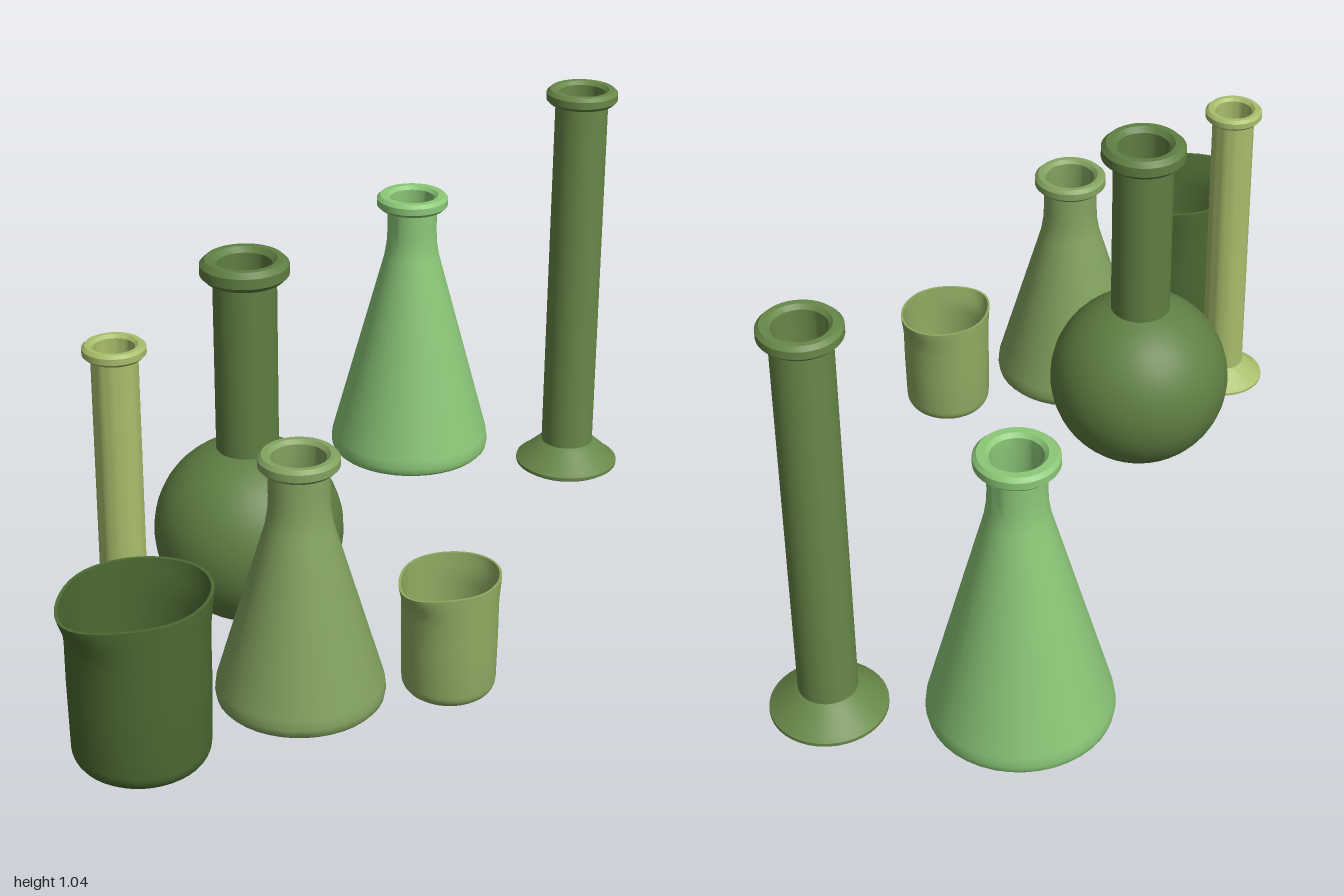
import * as THREE from 'three';
import { toCreasedNormals } from 'three/addons/utils/BufferGeometryUtils.js';

const SEGMENTS = 40;

// Closed profile [radius, height] running up the outside and down the inside
function lathe(points) {
  return new THREE.LatheGeometry(points.map(([r, y]) => new THREE.Vector2(r, y)), SEGMENTS);
}

function vessel(name, geometry, color, x, y, z) {
  const mesh = new THREE.Mesh(
    toCreasedNormals(geometry, 0.6),
    new THREE.MeshStandardMaterial({ color, side: THREE.DoubleSide })
  );
  mesh.name = name;
  mesh.position.set(x, y, z);
  return mesh;
}

// Rounded collar around the mouth, ending at its inner edge
function collar(neck, rim, bottom, top, bore) {
  const b = (top - bottom) * 0.25;
  return [
    [neck, bottom], [rim - b, bottom], [rim, bottom + b],
    [rim, top - b], [rim - b, top], [bore + b, top], [bore, top - b],
  ];
}

// Straight cup with a pouring lip on -x and a slight flare on +x
function beakerGeometry(r, h) {
  const c = r * 0.3, w = r * 0.05, outer = [], inner = [];
  for (let i = 0; i <= 6; i++) {
    const a = (i / 6) * Math.PI / 2;
    const cx = r * 0.98 - c + c * Math.sin(a), cy = c - c * Math.cos(a);
    outer.push([cx, cy]);
    inner.unshift([cx - w, cy + w]);
  }
  const wall = [0.5, 0.75, 0.82, 0.88, 0.93, 0.97, 1];
  const geometry = lathe([
    [0, 0], ...outer,
    ...wall.map((t) => [r, t * h]),
    ...wall.slice().reverse().map((t) => [r - w, t * h]),
    ...inner, [0, w],
  ]);
  const p = geometry.attributes.position;
  for (let i = 0; i < p.count; i++) {
    const x = p.getX(i), y = p.getY(i), z = p.getZ(i);
    const d = Math.hypot(x, z) || 1, cos = x / d;
    const lift = THREE.MathUtils.smoothstep(y / h, 0.75, 1.05);
    const push = cos < 0 ? 0.22 * Math.pow(-cos, 4) : 0.13 * cos * cos;
    p.setX(i, x + Math.sign(cos) * push * r * lift);
    if (cos < 0) p.setY(i, y - 0.08 * r * lift * Math.pow(-cos, 4));
  }
  return geometry;
}

// Cone body with a straight neck
function conicalGeometry(base, neck, rim, shoulder, h) {
  const bore = neck * 0.9;
  return lathe([
    [0, 0], [base * 0.95, 0], [base * 0.985, 0.007], [base, 0.022], [base * 0.985, 0.045],
    [neck * 1.12, shoulder - 0.035], [neck * 1.03, shoulder], [neck, shoulder + 0.035],
    ...collar(neck, rim, h - 0.034, h, bore),
    [bore, shoulder], [base * 0.94, 0.03], [0, 0.015],
  ]);
}

// Tall tube on a flared foot
function cylinderGeometry(s) {
  const points = [
    [0, 0], [0.122, 0], [0.131, 0.006], [0.131, 0.014], [0.122, 0.02], [0.078, 0.06], [0.066, 0.068],
    ...collar(0.065, 0.088, 0.99, 1.025, 0.057),
    [0.057, 0.07], [0, 0.07],
  ];
  return lathe(points.map(([r, y]) => [r * s, y * s]));
}

// Sphere body with a long neck; height measured from the sphere's lowest point
function roundGeometry(r, neck, rim, h) {
  const outer = [], inner = [], wall = 0.01, bore = neck - wall;
  const end = Math.PI - Math.asin(neck / r), innerEnd = Math.PI - Math.asin(bore / (r - wall));
  for (let i = 0; i <= 24; i++) {
    const a = (i / 24) * end, b = (i / 24) * innerEnd;
    outer.push([r * Math.sin(a), r - r * Math.cos(a)]);
    inner.unshift([(r - wall) * Math.sin(b), r - (r - wall) * Math.cos(b)]);
  }
  return lathe([...outer, ...collar(neck, rim, h - 0.047, h, bore), ...inner]);
}

export function createModel() {
  const group = new THREE.Group();
  group.name = 'laboratoryGlassware';
  group.add(
    vessel('largeBeaker', beakerGeometry(0.151, 0.395), 0x4c6a32, -0.82, 0.02, 0.322),
    vessel('smallBeaker', beakerGeometry(0.107, 0.281), 0x8fac62, -0.12, 0, 0.513),
    vessel('leftConicalFlask', conicalGeometry(0.187, 0.066, 0.088, 0.455, 0.587), 0x84a460, -0.415, 0.027, 0.355),
    vessel('rightConicalFlask', conicalGeometry(0.207, 0.063, 0.091, 0.575, 0.705), 0x8cc878, 0.601, 0.029, -0.411),
    vessel('roundFlask', roundGeometry(0.217, 0.071, 0.099, 0.877), 0x5f7f42, -0.271, 0.031, 0),
    vessel('smallMeasuringCylinder', cylinderGeometry(0.775), 0xa9be6c, -0.648, 0.029, 0.034),
    vessel('largeMeasuringCylinder', cylinderGeometry(1), 0x688848, 0.866, 0.012, -0.086)
  );
  return group;
}
